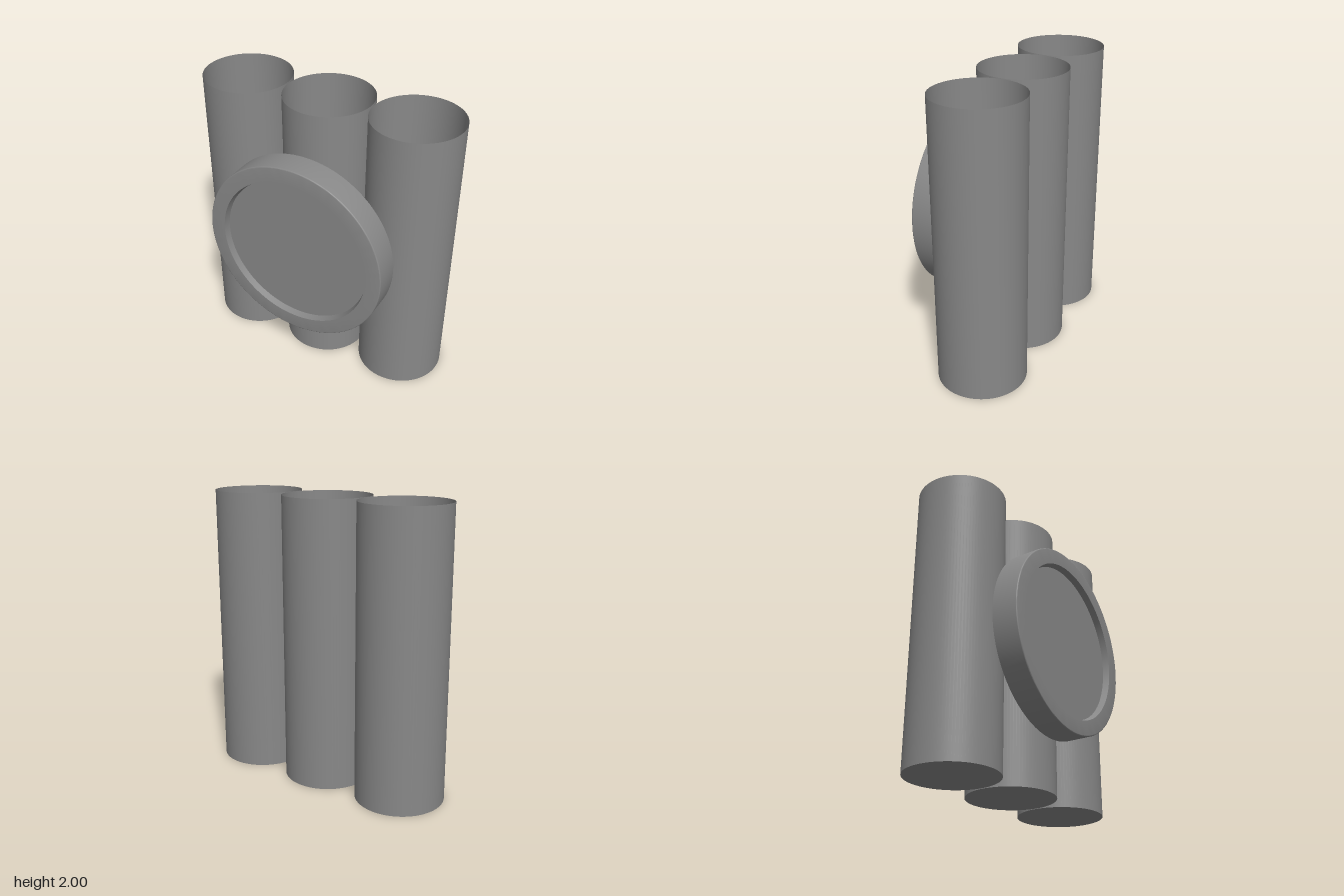
import * as THREE from 'three';
import { toCreasedNormals } from 'three/addons/utils/BufferGeometryUtils.js';

const grey = new THREE.MeshStandardMaterial({ color: 0x888888 });
const thinGrey = new THREE.MeshStandardMaterial({ color: 0x888888, side: THREE.DoubleSide });

// Turned part from [radius, height] pairs, with sharp profile corners
function turned(name, profile, material) {
  const points = profile.map(([r, h]) => new THREE.Vector2(r, h));
  const geometry = toCreasedNormals(new THREE.LatheGeometry(points, 96), 0.5);
  const mesh = new THREE.Mesh(geometry, material);
  mesh.name = name;
  return mesh;
}

export function createModel() {
  const model = new THREE.Group();
  model.name = 'tripleTubeHolder';

  // Three thin-walled tubes, open at the top with a closed floor
  const names = ['rightTube', 'middleTube', 'leftTube'];
  names.forEach((name, i) => {
    const tube = turned(name, [[0, 0], [0.306, 0], [0.306, 2]], thinGrey);
    tube.position.set((i - 1) * 0.624, 0, -0.093);
    model.add(tube);
  });

  // Round front plate with a softened raised rim and a slightly tapered recess
  const plate = turned('frontMedallion', [
    [0, 0], [0.662, 0], [0.662, 0.177], [0.6614, 0.1801], [0.6597, 0.1827],
    [0.6571, 0.1844], [0.654, 0.185],
    [0.552, 0.185], [0.541, 0.14], [0, 0.14],
  ], grey);
  plate.rotation.x = Math.PI / 2;
  plate.position.set(0, 1.027, 0.213);
  model.add(plate);

  return model;
}
